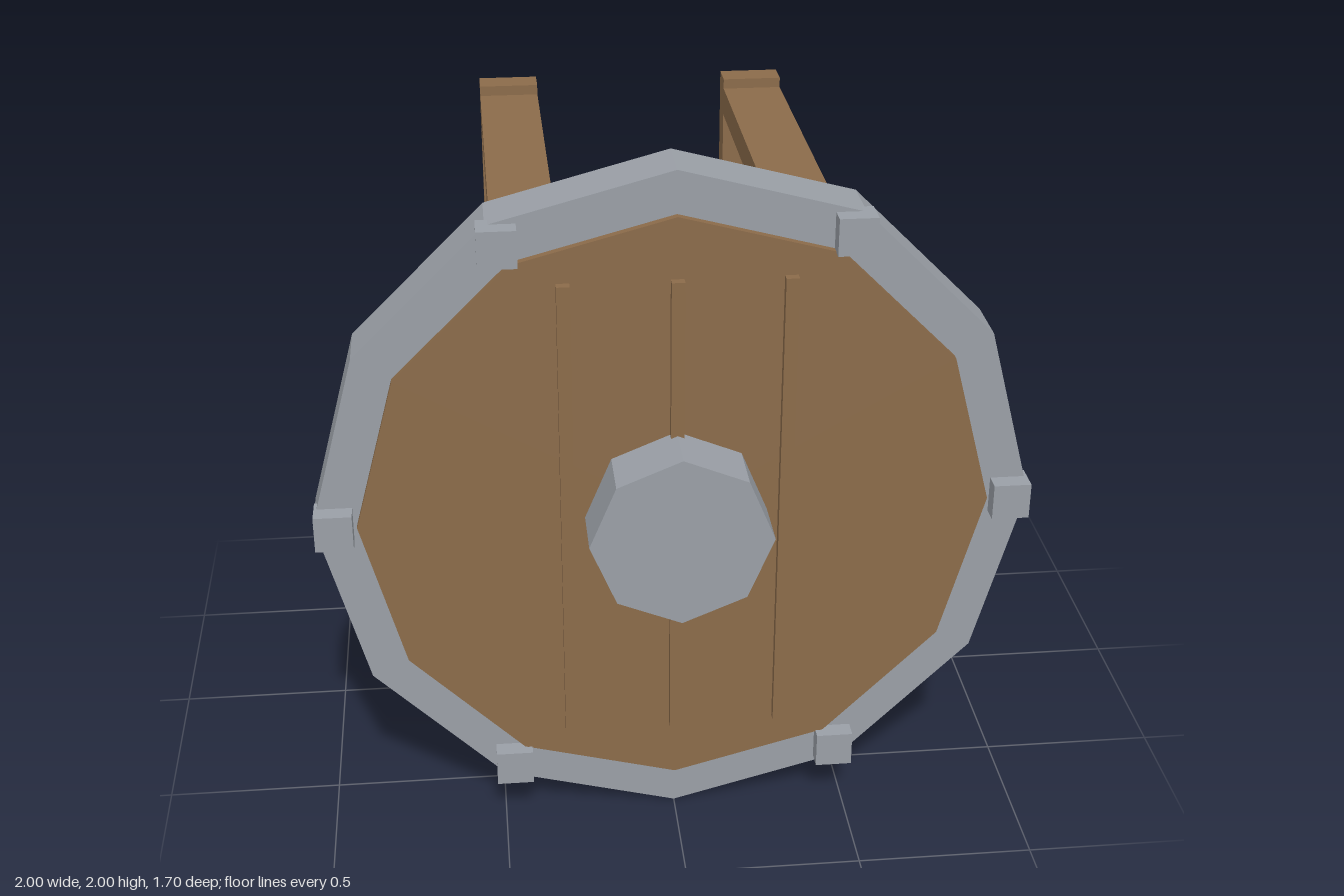
import * as THREE from 'three';

export function createModel() {
  const group = new THREE.Group();
  const material = (name, color) => {
    const m = new THREE.MeshStandardMaterial({ color, flatShading: true });
    m.name = name;
    return m;
  };
  const wood = material('wood', 0x8b6b4a);
  const metal = material('metal', 0x9a9fa6);
  const brass = material('brass', 0xc4ae62);
  const centreY = 1.002;

  const add = (name, geometry, mat) => {
    const mesh = new THREE.Mesh(geometry, mat);
    mesh.name = name;
    group.add(mesh);
    return mesh;
  };
  // Box given by its lower and upper limits on each axis
  const box = (name, mat, [x0, x1], [y0, y1], [z0, z1]) =>
    add(name, new THREE.BoxGeometry(x1 - x0, y1 - y0, z1 - z0), mat)
      .position.set((x0 + x1) / 2, (y0 + y1) / 2, (z0 + z1) / 2);
  // Polygonal disc facing the front
  const disc = (name, mat, radius, sides, z0, z1) => {
    const g = new THREE.CylinderGeometry(radius, radius, z1 - z0, sides);
    g.rotateX(Math.PI / 2);
    add(name, g, mat).position.set(0, centreY, (z0 + z1) / 2);
  };
  const polygon = (radius, sides) => Array.from({ length: sides }, (_, i) => {
    const a = (i / sides) * Math.PI * 2;
    return new THREE.Vector2(Math.cos(a) * radius, Math.sin(a) * radius);
  });

  // Round wooden face, metal rim and hub
  disc('woodenDisc', wood, 0.877, 12, 0.48, 0.685);
  const ring = new THREE.Shape(polygon(0.998, 12));
  ring.holes.push(new THREE.Path(polygon(0.872, 12).reverse()));
  add('rim', new THREE.ExtrudeGeometry(ring, { depth: 0.163, bevelEnabled: false }), metal)
    .position.set(0, centreY, 0.5);
  disc('hub', metal, 0.253, 8, 0.67, 0.853);

  // Square studs around the rim
  for (let i = 0; i < 6; i++) {
    const a = (i * Math.PI) / 3;
    add('rimStud', new THREE.BoxGeometry(0.105, 0.105, 0.085), metal)
      .position.set(Math.cos(a) * 0.94, centreY + Math.sin(a) * 0.94, 0.672);
  }

  // Raised vertical strips on the face
  for (const x of [-0.302, 0, 0.302]) {
    box('faceStrip', wood, [x - 0.018, x + 0.018], [0.305, 1.705], [0.67, 0.71]);
  }

  // Frame behind the disc, mirrored left and right
  for (const s of [-1, 1]) {
    const x = s > 0 ? [0.3, 0.482] : [-0.482, -0.3];
    box('frontPost', wood, x, [0.52, 1.68], [0.355, 0.442]);
    box('topBeam', wood, x, [1.675, 1.762], [-0.75, 0.49]);
    box('rearLeg', wood, x, [0.1, 1.793], [-0.8, -0.712]);
  }

  // Rear crossbar with its brass block
  box('crossbar', wood, [-0.453, 0.453], [1.05, 1.198], [-0.815, -0.73]);
  box('brassBlock', brass, [-0.09, 0.09], [1.033, 1.213], [-0.851, -0.75]);

  return group;
}
